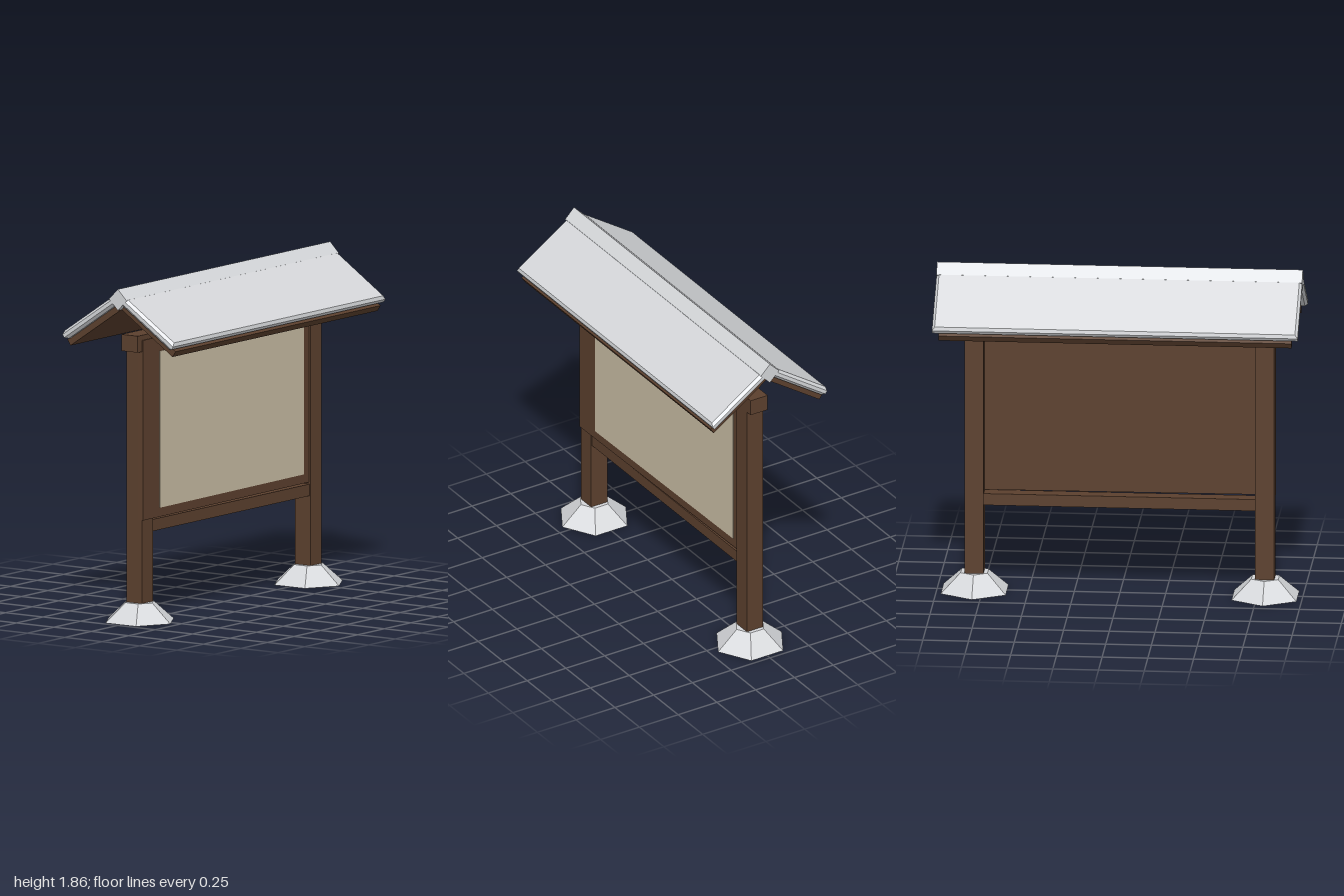
import * as THREE from 'three';

const wood = new THREE.MeshStandardMaterial({ color: 0x5c402e, name: 'brown wood' });
const paper = new THREE.MeshStandardMaterial({ color: 0xcabea5, name: 'cream board' });
const metal = new THREE.MeshStandardMaterial({ color: 0xd5d7da, name: 'pale grey' });
metal.flatShading = true;
metal.side = THREE.DoubleSide;

function add(parent, name, geometry, material, x = 0, y = 0, z = 0) {
  const mesh = new THREE.Mesh(geometry, material);
  mesh.name = name;
  mesh.position.set(x, y, z);
  parent.add(mesh);
  return mesh;
}

// Box given by its lower and upper limits on each axis
function block(parent, name, material, [x0, x1], [y0, y1], [z0, z1]) {
  return add(parent, name, new THREE.BoxGeometry(x1 - x0, y1 - y0, z1 - z0), material,
    (x0 + x1) / 2, (y0 + y1) / 2, (z0 + z1) / 2);
}

// Slab with all edges chamfered, lying in xz, centred on its origin
function chamferedSlab(width, height, depth, c) {
  const w = width / 2 - c, d = depth / 2 - c;
  const shape = new THREE.Shape([
    new THREE.Vector2(-w, -d), new THREE.Vector2(w, -d),
    new THREE.Vector2(w, d), new THREE.Vector2(-w, d),
  ]);
  const g = new THREE.ExtrudeGeometry(shape, {
    depth: height - 2 * c, bevelEnabled: true, bevelSize: c, bevelThickness: c, bevelSegments: 1,
  });
  g.translate(0, 0, c - height / 2);
  g.rotateX(-Math.PI / 2);
  return g;
}

export function createModel() {
  const model = new THREE.Group();
  model.name = 'noticeBoard';

  // Posts standing in hollow six-sided footings
  const footProfile = [[0.205, 0], [0.085, 0.105], [0, 0.105]].map(p => new THREE.Vector2(...p));
  for (const side of [-1, 1]) {
    const label = side > 0 ? 'left' : 'right';
    const x = side * 0.795;
    add(model, label + 'Footing', new THREE.LatheGeometry(footProfile, 6), metal, x, 0, 0);
    block(model, label + 'Post', wood, [x - 0.052, x + 0.052], [0.02, 1.51], [-0.052, 0.052]);
  }

  // Cross beam on the posts and lower rail between them
  block(model, 'topBeam', wood, [-0.89, 0.89], [1.497, 1.588], [-0.055, 0.055]);
  block(model, 'lowerRail', wood, [-0.745, 0.745], [0.49, 0.555], [-0.035, 0.045]);

  // Display panel, set very slightly askew
  const display = new THREE.Group();
  display.name = 'displayPanel';
  block(display, 'backboard', wood, [-0.85, 0.8], [0.565, 1.56], [0.02, 0.05]);
  block(display, 'noticeSurface', paper, [-0.69, 0.69], [0.615, 1.48], [0.049, 0.053]);
  display.rotation.y = 0.013;
  model.add(display);

  // Two roof slopes, each a wooden deck under a chamfered sheet
  for (const [label, turn] of [['front', 0], ['back', Math.PI]]) {
    const half = new THREE.Group();
    half.name = label + 'Roof';
    half.rotation.y = turn;
    const slope = new THREE.Group();
    slope.position.y = 1.74;
    slope.rotation.x = 0.594;
    block(slope, 'roofDeck', wood, [-0.965, 0.965], [0, 0.038], [0, 0.411]);
    add(slope, 'roofSheet', chamferedSlab(2, 0.05, 0.4, 0.015), metal, 0, 0.058, 0.2);
    half.add(slope);
    model.add(half);
  }

  // Square ridge cap turned on its corner
  const ridge = add(model, 'ridgeCap', new THREE.BoxGeometry(2, 0.083, 0.083), metal, 0, 1.798, 0);
  ridge.rotation.x = Math.PI / 4;

  return model;
}
